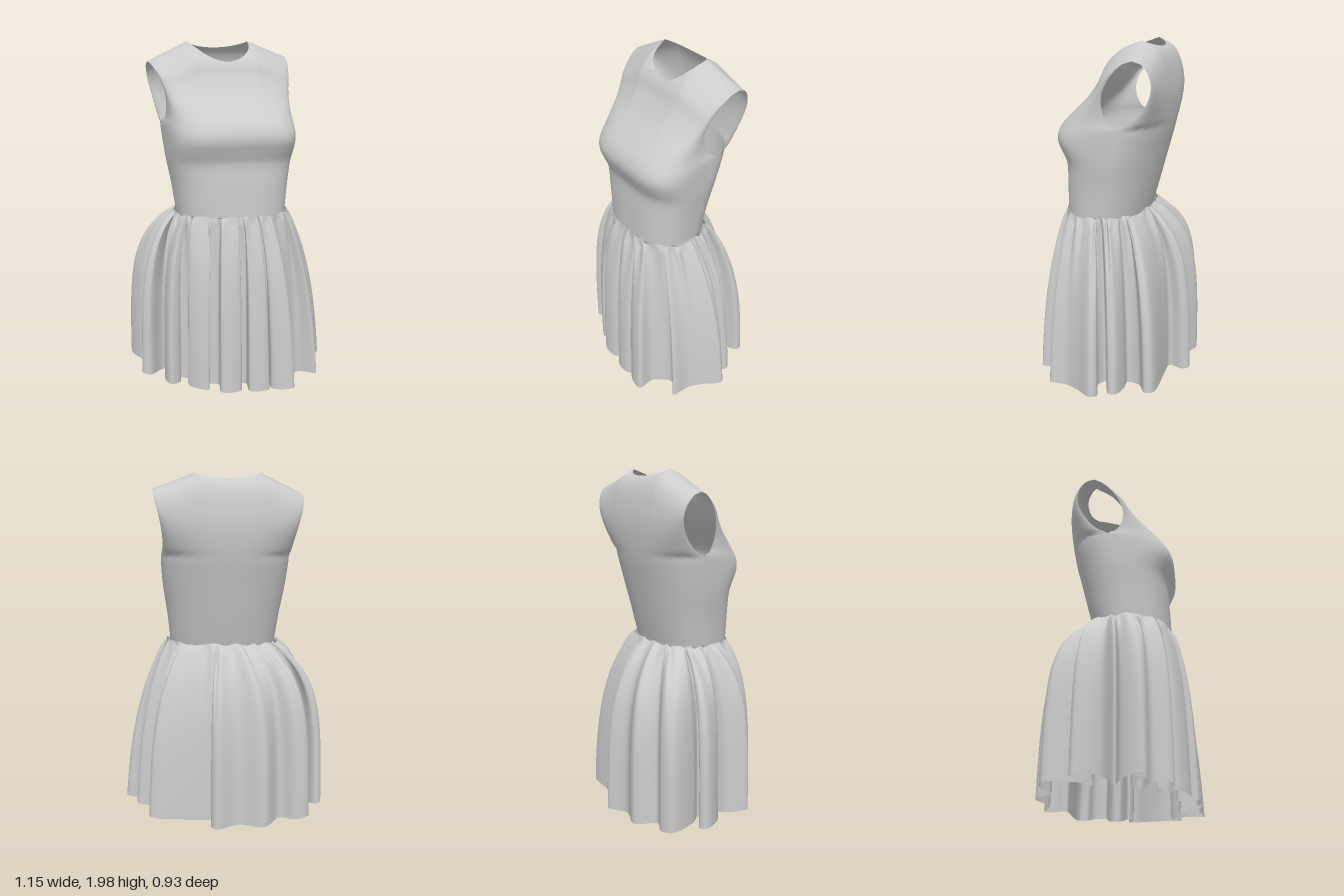
import * as THREE from 'three';
import { mergeGeometries, mergeVertices } from 'three/addons/utils/BufferGeometryUtils.js';

const CX = -0.02, WAIST = 1.03, WAIST_Z = 0.05;
const material = new THREE.MeshStandardMaterial({ color: 0xcccccc, side: THREE.DoubleSide });

// The body is turned slightly, so depth shifts with x, less so at the arms
const turn = (x, z) => z + 0.145 * (x - CX) * (1 - 2.5 * (x - CX) ** 2);

// Smooth function through [position, value] pairs
function profile(pts) {
  const slope = i => {
    const a = pts[Math.max(i - 1, 0)], b = pts[Math.min(i + 1, pts.length - 1)];
    return (b[1] - a[1]) / (b[0] - a[0]);
  };
  return y => {
    if (y <= pts[0][0]) return pts[0][1];
    for (let i = 0; i < pts.length - 1; i++) {
      const [y0, v0] = pts[i], [y1, v1] = pts[i + 1];
      if (y > y1) continue;
      const h = y1 - y0, t = (y - y0) / h, t2 = t * t, t3 = t2 * t;
      return v0 * (2 * t3 - 3 * t2 + 1) + v1 * (3 * t2 - 2 * t3)
        + h * slope(i) * (t3 - 2 * t2 + t) + h * slope(i + 1) * (t3 - t2);
    }
    return pts[pts.length - 1][1];
  };
}

// Surface from a grid of points
function gridGeometry(cols, rows, point) {
  const pos = [], index = [];
  for (let j = 0; j <= rows; j++)
    for (let i = 0; i <= cols; i++) pos.push(...point(i, j));
  for (let j = 0; j < rows; j++)
    for (let i = 0; i < cols; i++) {
      const a = j * (cols + 1) + i, b = a + cols + 1;
      index.push(a, a + 1, b + 1, a, b + 1, b);
    }
  const g = new THREE.BufferGeometry();
  g.setAttribute('position', new THREE.Float32BufferAttribute(pos, 3));
  g.setIndex(index);
  return g;
}

function named(name, geometry) {
  const g = mergeVertices(geometry, 1e-4);
  g.computeVertexNormals();
  const mesh = new THREE.Mesh(g, material);
  mesh.name = name;
  return mesh;
}

// Bodice profiles by height
const halfWidth = profile([[1.03, 0.31], [1.2, 0.33], [1.35, 0.352], [1.5, 0.363], [1.6, 0.365], [1.7, 0.378], [1.8, 0.4], [1.9, 0.42], [2, 0.42]]);
const frontZ = profile([[1.03, 0.285], [1.2, 0.28], [1.33, 0.275], [1.39, 0.295], [1.45, 0.316], [1.5, 0.314], [1.55, 0.288], [1.6, 0.24],
  [1.7, 0.14], [1.8, 0.07], [1.885, 0.028], [1.96, -0.06], [2, -0.16]]);
const backZ = profile([[1.03, -0.17], [1.2, -0.215], [1.3, -0.24], [1.4, -0.265], [1.5, -0.29], [1.6, -0.307], [1.7, -0.315],
  [1.8, -0.307], [1.9, -0.282], [1.96, -0.24], [2, -0.16]]);
const seamZ = profile([[1.03, WAIST_Z], [1.3, 0], [1.55, -0.075], [1.775, -0.12], [2, -0.16]]);
const frontSquareness = profile([[1.03, 2.6], [1.3, 3], [1.45, 3.8], [1.6, 3.2], [2, 2.6]]);

const HALF = 48;
const across = k => Math.pow(Math.sin(k / HALF * Math.PI / 2), 0.88);
const NECK = across(12);

// One panel from waist to neckline and shoulder; the armhole parts front from back
function bodicePanel(isFront) {
  const dir = isFront ? 1 : -1, neckDrop = isFront ? 0.115 : 0.035, rows = 64;
  return gridGeometry(HALF * 2, rows, (i, j) => {
    const k = i - HALF, a = across(Math.abs(k)), side = dir * Math.sign(k);
    // The right shoulder sits a little lower
    const slope = side < 0 ? 0.115 : 0.09;
    const shoulder = 2 - slope * Math.max(0, (a - NECK) / (1 - NECK));
    const dip = neckDrop * Math.pow(Math.max(0, 1 - (a / NECK) ** 2), 0.75);
    const y = WAIST + (j / rows) * (shoulder - dip - WAIST);
    const level = y + (2 - shoulder) * THREE.MathUtils.smoothstep(y, 1.6, 1.88);
    const open = Math.sqrt(Math.max(0, 1 - ((level - 1.775) / 0.225) ** 2));
    const edge = seamZ(level) + dir * open * 0.13;
    const centre = isFront ? frontZ(level) : backZ(level);
    const n = isFront ? frontSquareness(y) : 2.2;
    const z = edge + (centre - edge) * Math.pow(Math.max(0, 1 - a ** n), 1 / n);
    // The front is cut in a little at the armhole
    const width = halfWidth(y) * (isFront ? 1 - 0.05 * open : 1);
    const x = CX + side * a * width;
    return [x, y, turn(x, z)];
  });
}

// Hem of the skirt as [x, z], from the left side round the front, right and back
const HEM = [
  [0.575, 0.08], [0.5, 0.17], [0.45, 0.25], [0.43, 0.355], [0.34, 0.285], [0.245, 0.36], [0.235, 0.46],
  [0.115, 0.42], [0.125, 0.32], [0.08, 0.31], [0.095, 0.42], [-0.02, 0.41], [-0.01, 0.31], [-0.06, 0.3],
  [-0.065, 0.385], [-0.185, 0.38], [-0.17, 0.28], [-0.225, 0.265], [-0.25, 0.335], [-0.345, 0.255],
  [-0.3, 0.2], [-0.36, 0.15], [-0.385, 0.21], [-0.445, 0.23], [-0.455, 0.13], [-0.36, 0.07], [-0.43, 0.02],
  [-0.535, 0.1], [-0.575, 0.07], [-0.5, -0.03], [-0.41, -0.06], [-0.53, -0.13], [-0.572, -0.26], [-0.53, -0.28],
  [-0.47, -0.17], [-0.41, -0.17], [-0.45, -0.25], [-0.455, -0.41], [-0.38, -0.43], [-0.29, -0.375],
  [-0.19, -0.465], [-0.05, -0.4], [0.08, -0.44], [0.11, -0.4], [0.08, -0.32], [0.18, -0.3], [0.44, -0.26],
  [0.45, -0.215], [0.36, -0.17], [0.34, -0.1], [0.42, -0.09], [0.51, -0.055], [0.51, -0.015], [0.36, 0.03],
  [0.41, 0.065], [0.55, 0.045],
];

// Waist point in the direction of a hem point; outer folds stand out a little
function waistPoint([hx, hz]) {
  const dx = hx - CX, dz = hz - WAIST_Z, n = 2.5;
  const depth = dz > 0 ? 0.235 : 0.22;
  const scale = 1.01 + 0.25 * (Math.hypot(hx, hz) - 0.35);
  const r = scale * Math.pow(Math.abs(dx / 0.31) ** n + Math.abs(dz / depth) ** n, -1 / n);
  const x = CX + dx * r;
  return new THREE.Vector3(x, 0, turn(x, WAIST_Z + dz * r));
}

function skirtGeometry() {
  const closed = pts => new THREE.CatmullRomCurve3(pts, true, 'centripetal');
  const hemCurve = closed(HEM.map(([x, z]) => new THREE.Vector3(x, 0, z)));
  const waistCurve = closed(HEM.map(waistPoint));
  const cols = HEM.length * 10, rows = 48;
  const ring = [];
  for (let i = 0; i <= cols; i++) {
    const u = (i % cols) / cols;
    ring.push([waistCurve.getPoint(u), hemCurve.getPoint(u), u * Math.PI * 2]);
  }
  return gridGeometry(cols, rows, (i, j) => {
    const [a, b, angle] = ring[i];
    const t = (j / rows) ** 1.5;
    const out = new THREE.Vector3(b.x, 0, b.z).normalize();
    // Back and right side puff out sooner than front and left
    const c = 3.8 - 1.1 * out.z - 1.5 * out.x;
    const k = (1 - Math.exp(-c * t)) / (1 - Math.exp(-c));
    // Fine gathers fade below the waist
    const gather = (0.011 * Math.sin(angle * 42) + 0.005 * Math.sin(angle * 67 + 1))
      * Math.min(1, t * 25) * (1 - t) ** 4;
    const hemY = 0.02 + 0.13 * b.x * b.x - 0.02 * b.x;
    const y = THREE.MathUtils.lerp(WAIST + 0.006 * Math.sin(angle * 28), hemY, t);
    return [a.x + (b.x - a.x) * k + out.x * gather, y, a.z + (b.z - a.z) * k + out.z * gather];
  });
}

export function createModel() {
  const group = new THREE.Group();
  group.name = 'dress';
  group.add(named('bodice', mergeGeometries([bodicePanel(true), bodicePanel(false)])));
  group.add(named('skirt', skirtGeometry()));
  return group;
}
